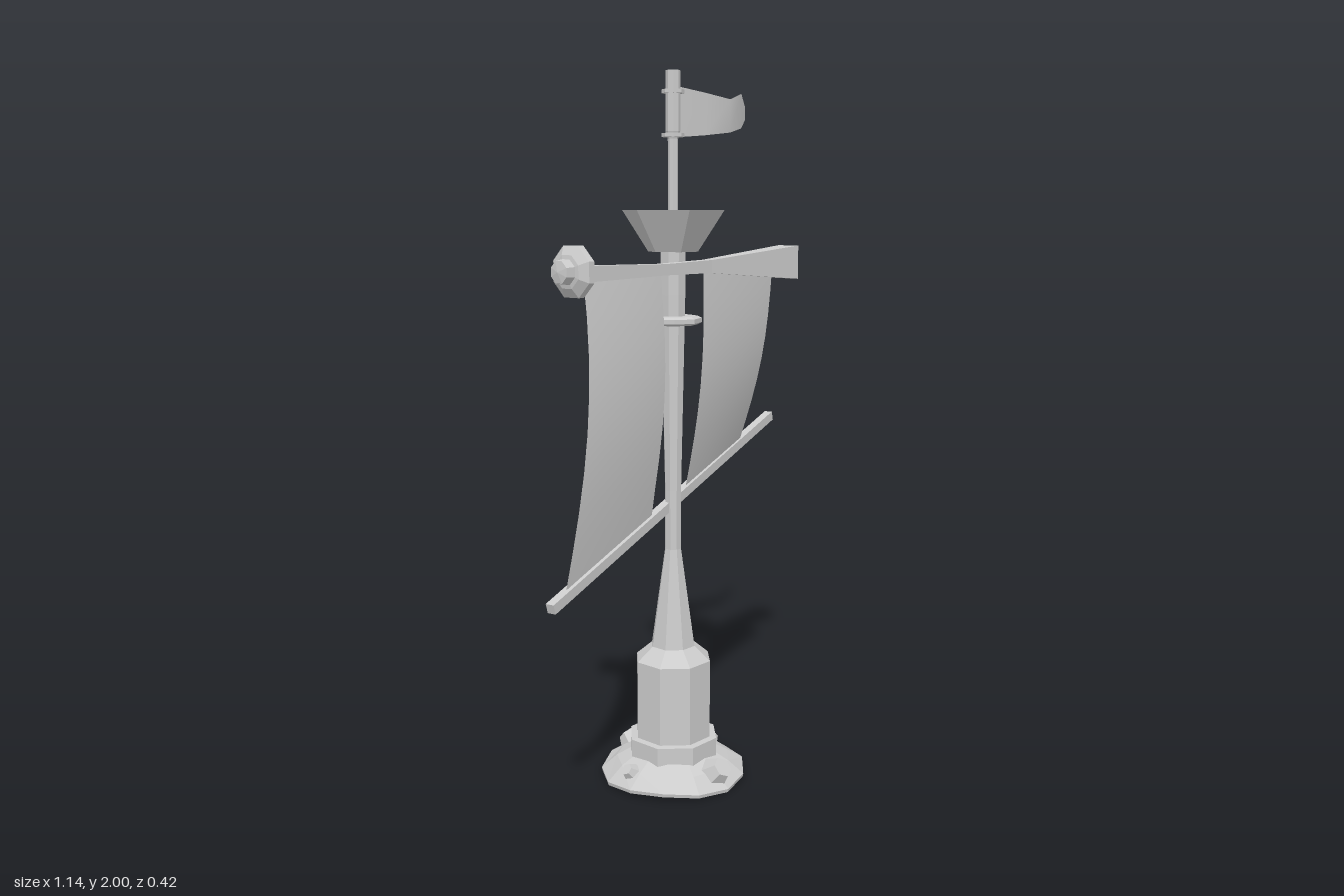
import * as THREE from 'three';

const MAST_X = -0.016;

export function createModel() {
  const group = new THREE.Group();
  const flat = new THREE.MeshStandardMaterial({ color: 0xcccccc, flatShading: true });
  const cloth = new THREE.MeshStandardMaterial({ color: 0xcccccc, side: THREE.DoubleSide });

  const add = (name, geometry, material = flat) => {
    const mesh = new THREE.Mesh(geometry, material);
    mesh.name = name;
    group.add(mesh);
    return mesh;
  };

  // Faceted turned part around the mast axis; profile runs [radius, height]
  const turned = (name, profile, sides, start = 0) => {
    const points = profile.map(([r, y]) => new THREE.Vector2(r, y));
    const mesh = add(name, new THREE.LatheGeometry(points, sides, start));
    mesh.position.x = MAST_X;
    return mesh;
  };

  // Flared foot, hollow underneath, with a slightly uneven rim
  const foot = turned('footSkirt', [[0, 0.06], [0.14, 0.06], [0.208, 0.01], [0.21, 0.02],
    [0.165, 0.055], [0.12, 0.08]], 13);
  const rim = foot.geometry.attributes.position;
  for (let i = 0; i < rim.count; i++) {
    if (rim.getY(i) > 0.03) continue;
    const angle = Math.atan2(rim.getX(i), rim.getZ(i));
    rim.setY(i, rim.getY(i) + 0.008 * Math.cos(3 * angle + Math.PI));
  }

  // Stones set into the foot: [angle, size]
  [[0, 0.048], [Math.PI / 2, 0.026], [Math.PI, 0.044], [-Math.PI / 2 - 0.08, 0.028]].forEach(([angle, size]) => {
    const stone = add('footStone', new THREE.CylinderGeometry(size * 0.6, size, size, 6));
    const holder = new THREE.Group();
    holder.name = 'footStoneHolder';
    stone.position.set(0, 0.056, 0.172);
    stone.rotation.x = 0.85;
    holder.add(stone);
    holder.position.x = MAST_X;
    holder.rotation.y = angle;
    group.add(holder);
  });

  // Base ring, column and tapering mast
  turned('baseRing', [[0.1, 0.07], [0.132, 0.07], [0.132, 0.125], [0.1, 0.128]], 8, Math.PI / 8);
  turned('mast', [[0.112, 0.12], [0.112, 0.355], [0.065, 0.395], [0.024, 0.68], [0.024, 0.85],
    [0.036, 1.4], [0.037, 1.53], [0, 1.53]], 8, Math.PI / 8);
  turned('collar', [[0.03, 1.318], [0.068, 1.318], [0.08, 1.324], [0.08, 1.336], [0.068, 1.342], [0.03, 1.342]], 8);

  // Open six-sided lookout
  turned('lookout', [[0.03, 1.518], [0.07, 1.518], [0.143, 1.63], [0.117, 1.63], [0.04, 1.535], [0, 1.535]],
    6, Math.PI / 2);

  // Top pole with two flag rings
  turned('topPole', [[0.014, 1.53], [0.014, 1.82], [0.02, 1.84], [0.02, 2], [0, 2]], 8);
  [1.83, 1.945].forEach((y) =>
    turned('flagRing', [[0.01, y - 0.005], [0.031, y - 0.005], [0.031, y + 0.005], [0.01, y + 0.005]], 8));

  // Upper yard, stations of [x, y, height, depth]
  const stations = [[-0.42, 1.471, 0.042, 0.034], [-0.11, 1.473, 0.03, 0.034],
    [0.08, 1.476, 0.036, 0.034], [0.45, 1.478, 0.098, 0.074]];
  const yard = new THREE.BoxGeometry(1, 1, 1, 3, 1, 1);
  const yp = yard.attributes.position;
  for (let i = 0; i < yp.count; i++) {
    const [x, y, h, d] = stations[Math.round((yp.getX(i) + 0.5) * 3)];
    yp.setXYZ(i, x, y + yp.getY(i) * h, 0.043 + yp.getZ(i) * d);
  }
  add('upperYard', yard);

  // Stepped knob on the yard's end
  const knob = add('yardKnob', new THREE.LatheGeometry(
    [[0, 0], [0.048, 0], [0.07, 0.012], [0.07, 0.03], [0.045, 0.045], [0.034, 0.047], [0.03, 0.072], [0, 0.077]]
      .map(([r, y]) => new THREE.Vector2(r, y)), 8, Math.PI / 8));
  knob.rotation.z = Math.PI / 2;
  knob.position.set(-0.41, 1.478, 0.041);

  // Slanted lower boom
  const boomStart = new THREE.Vector3(-0.565, 0.642, 0.082);
  const boomEnd = new THREE.Vector3(0.562, 0.985, -0.11);
  const boomSpan = boomEnd.clone().sub(boomStart);
  const boom = add('lowerBoom', new THREE.BoxGeometry(0.025, 0.027, boomSpan.length()));
  boom.position.copy(boomStart).lerp(boomEnd, 0.5);
  boom.lookAt(boomEnd);

  // Cloth sheet shaped by a rule from (u, v) in 0..1, v running downward
  const sheet = (name, nu, nv, rule) => {
    const geometry = new THREE.PlaneGeometry(1, 1, nu, nv);
    const p = geometry.attributes.position;
    for (let i = 0; i < p.count; i++) p.setXYZ(i, ...rule(p.getX(i) + 0.5, 0.5 - p.getY(i)));
    geometry.computeVertexNormals();
    return add(name, geometry, cloth);
  };

  // Sails hang from the yard to the boom and billow forward
  const sail = (name, left, right, bulge) => sheet(name, 4, 8, (u, v) => {
    const x = THREE.MathUtils.lerp(left(v), right(v), u);
    const t = (x - boomStart.x) / boomSpan.x;
    const y = THREE.MathUtils.lerp(1.46, boomStart.y + t * boomSpan.y, v);
    const z = THREE.MathUtils.lerp(0.043, boomStart.z + t * boomSpan.z, v);
    return [x, y, z + bulge(u) * Math.sin(Math.PI * v)];
  });
  sail('rightSail', (v) => -0.4 - 0.105 * v ** 1.7,
    (v) => -0.112 + 0.012 * Math.sin(Math.PI * Math.min(v * 1.1, 1)), (u) => 0.034 - 0.012 * u);
  sail('leftSail', () => 0.063, () => 0.372, () => 0.025);

  // Waving flag, stations of [x, top, bottom, z]
  const wave = [[0.0, 1.96, 1.825, 0], [0.1, 1.948, 1.834, 0.016], [0.195, 1.936, 1.845, 0.026],
    [0.3, 1.96, 1.863, -0.02], [0.355, 1.925, 1.892, -0.05]];
  sheet('flag', 4, 1, (u, v) => {
    const [x, top, bottom, z] = wave[Math.round(u * 4)];
    return [x, THREE.MathUtils.lerp(top, bottom, v), z];
  });

  return group;
}
